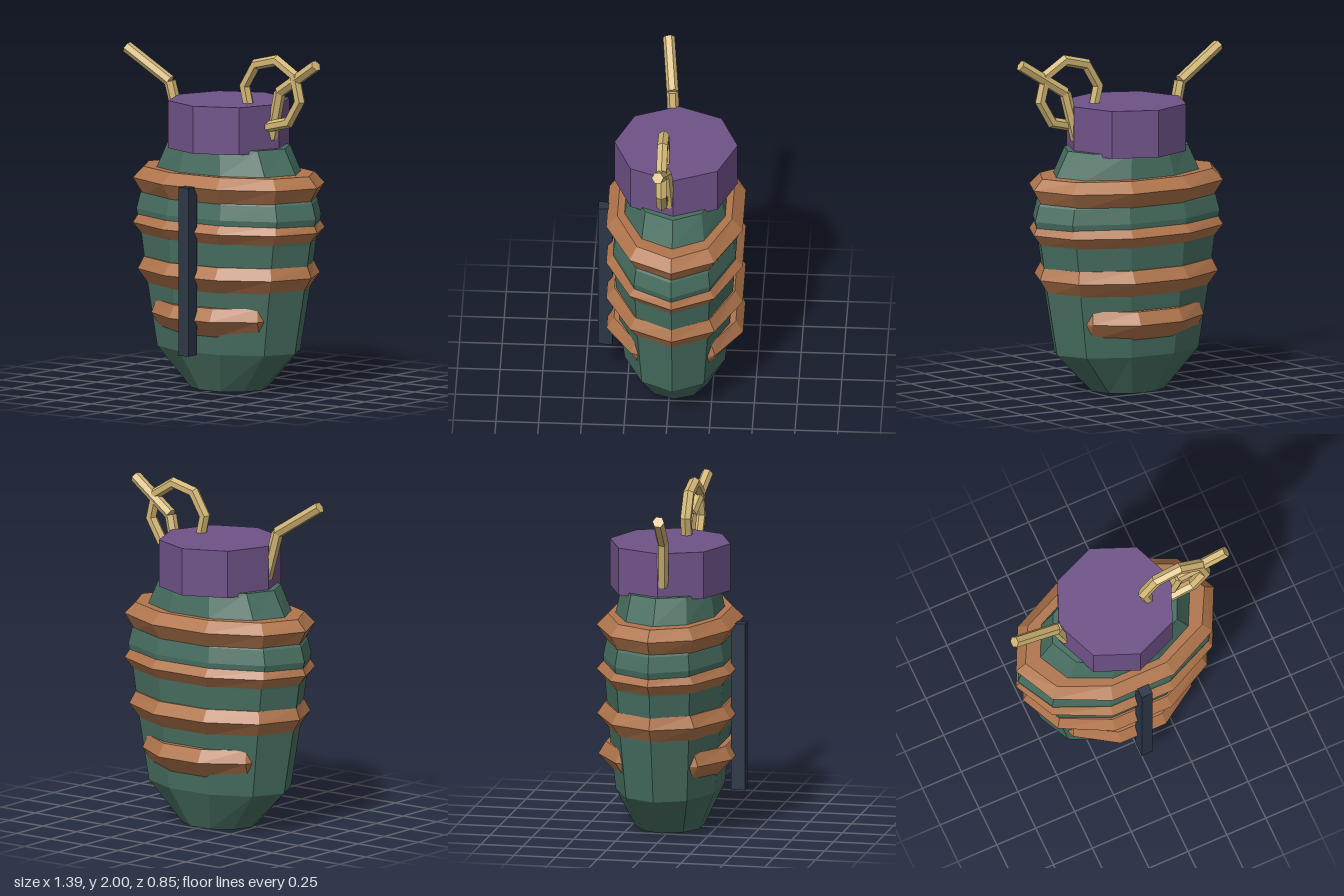
import * as THREE from 'three';

const Z0 = -0.03; // the body axis sits slightly behind centre

function material(name, color) {
  const m = new THREE.MeshStandardMaterial({ color, flatShading: true });
  m.name = name;
  return m;
}

// Closed ten-sided elliptical loft from [y, radiusX, radiusZ] sections, bottom to top
function loft(sections, sides = 10) {
  const pos = [];
  const point = ([y, rx, rz], i) => {
    const a = (i % sides) / sides * Math.PI * 2;
    return [rx * Math.cos(a), y, rz * Math.sin(a)];
  };
  const bottom = sections[0], top = sections[sections.length - 1];
  for (let i = 0; i < sides; i++) {
    for (let s = 0; s < sections.length - 1; s++) {
      const a = point(sections[s], i + 1), b = point(sections[s], i);
      const c = point(sections[s + 1], i), d = point(sections[s + 1], i + 1);
      pos.push(...a, ...b, ...c, ...a, ...c, ...d);
    }
    pos.push(0, bottom[0], 0, ...point(bottom, i), ...point(bottom, i + 1));
    pos.push(0, top[0], 0, ...point(top, i + 1), ...point(top, i));
  }
  const g = new THREE.BufferGeometry();
  g.setAttribute('position', new THREE.Float32BufferAttribute(pos, 3));
  g.computeVertexNormals();
  return g;
}

export function createModel() {
  const green = material('dark green', 0x476e60);
  const copper = material('copper', 0xb0754c);
  const purple = material('purple', 0x6f5288);
  const brass = material('brass', 0xd2b675);
  const navy = material('navy', 0x2c3647);

  const model = new THREE.Group();
  const add = (name, geometry, mat, x = 0, y = 0, z = 0) => {
    const mesh = new THREE.Mesh(geometry, mat);
    mesh.name = name;
    mesh.position.set(x, y, z);
    model.add(mesh);
    return mesh;
  };

  // Faceted oval body
  add('body', loft([
    [0, 0.235, 0.2], [0.235, 0.475, 0.31], [0.6, 0.54, 0.347], [0.89, 0.585, 0.368],
    [1.04, 0.625, 0.378], [1.13, 0.6, 0.36], [1.29, 0.48, 0.31], [1.44, 0.4, 0.28],
  ]), green, 0, 0, Z0);

  // Ridged bands; the lowest one is narrower than the body at the sides
  [
    [[0.34, 0.44, 0.32], [0.44, 0.47, 0.42], [0.515, 0.45, 0.375]],
    [[0.595, 0.53, 0.34], [0.69, 0.592, 0.42], [0.76, 0.563, 0.37]],
    [[0.885, 0.575, 0.36], [0.96, 0.635, 0.42], [1.01, 0.61, 0.375]],
    [[1.12, 0.575, 0.35], [1.225, 0.635, 0.42], [1.29, 0.575, 0.352]],
  ].forEach((sections, i) => add('band' + (i + 1), loft(sections), copper, 0, 0, Z0));

  // Octagonal cap
  add('cap', new THREE.CylinderGeometry(0.36, 0.36, 0.28, 8), purple, 0, 1.56, Z0);

  // Upright strip on the front
  add('frontStrip', new THREE.BoxGeometry(0.07, 0.995, 0.085), navy, 0, 0.7325, 0.3825);

  // Bent rods rising from both sides of the cap
  const up = new THREE.Vector3(0, 1, 0);
  const rod = (name, a, b) => {
    const dir = b.clone().sub(a);
    const mesh = add(name, new THREE.CylinderGeometry(0.035, 0.035, dir.length(), 6), brass);
    mesh.position.copy(a).add(b).multiplyScalar(0.5);
    mesh.quaternion.setFromUnitVectors(up, dir.normalize());
  };
  for (const [side, s] of [['left', 1], ['right', -1]]) {
    const foot = new THREE.Vector3(0.325 * s, 1.5, -0.005);
    const bend = new THREE.Vector3(0.395 * s, 1.78, 0.01);
    const tip = new THREE.Vector3(0.68 * s, 1.963, 0.045);
    rod(side + 'RodLower', foot, bend);
    rod(side + 'RodUpper', bend, tip);
  }

  // Pull ring hooked over the left rod
  const ring = add('pullRing', new THREE.TorusGeometry(0.2, 0.035, 6, 8), brass, 0.355, 1.77, 0.03);
  ring.rotation.z = -9 * Math.PI / 180;

  return model;
}
